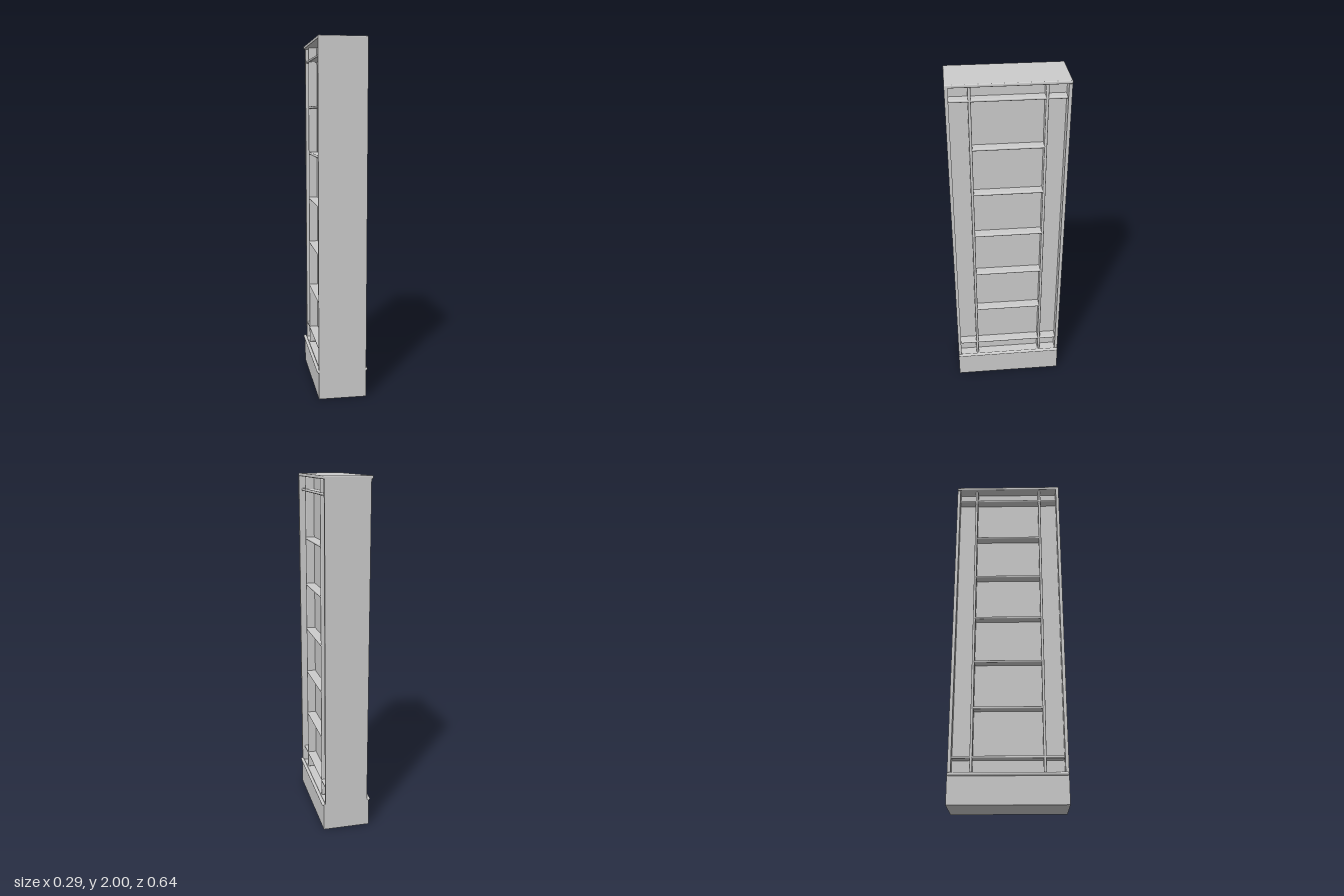
import * as THREE from 'three';
import { RoundedBoxGeometry } from 'three/addons/geometries/RoundedBoxGeometry.js';

export function createModel() {
  const model = new THREE.Group();
  model.name = 'doubleSidedBookcase';
  const material = new THREE.MeshStandardMaterial({ color: 0xcccccc });

  // Dimensions: the shallow compartments open towards +x and -x
  const halfZ = 0.32, rim = 0.018, frontX = 0.135, backX = 0.124, boardX = 0.12, coreX = 0.07;
  const baseTop = 0.16, top = 2, openBottom = 0.255, openTop = 1.905;
  const innerZ = halfZ - rim, uprightZ = 0.197, board = 0.015;

  function add(name, geometry, x, y, z) {
    const mesh = new THREE.Mesh(geometry, material);
    mesh.name = name;
    mesh.position.set(x, y, z);
    model.add(mesh);
  }
  // Box centred on x = 0, from its y and z limits
  function box(name, halfX, y0, y1, z0, z1) {
    add(name, new THREE.BoxGeometry(halfX * 2, y1 - y0, z1 - z0), 0, (y0 + y1) / 2, (z0 + z1) / 2);
  }
  // Thin board with rounded edges, standing out from the core on both sides
  function roundedBoard(name, height, depth, y, z) {
    add(name, new RoundedBoxGeometry(boardX * 2, height, depth, 3, board * 0.45), 0, y, z);
  }

  // Plinth, top board and the two end panels (the rear one is narrower)
  box('plinth', frontX, 0, baseTop, -halfZ, halfZ);
  add('topBoard', new RoundedBoxGeometry(frontX * 2, rim, halfZ * 2, 3, 0.006), 0, top - rim / 2, 0);
  box('frontPanel', frontX, baseTop, top - 0.008, innerZ, halfZ);
  box('backPanel', backX, baseTop, top - 0.008, -halfZ, -innerZ);

  // Core whose faces are the backs of the compartments
  box('core', coreX, baseTop, top - rim, -innerZ, innerZ);

  // Uprights separating the narrow side bays from the shelves
  const height = top - rim - baseTop;
  for (const z of [-uprightZ, uprightZ])
    roundedBoard('upright', height, board, baseTop + height / 2, z);

  // Boards closing the top and bottom bays
  for (const y of [openBottom, openTop])
    roundedBoard('crossBoard', board, innerZ * 2, y, 0);

  // Shelves between the uprights
  for (let i = 1; i <= 5; i++) {
    const y = openBottom + (i * (openTop - openBottom)) / 6;
    roundedBoard('shelf', board, uprightZ * 2, y, 0);
  }

  // Mouldings along the top of the plinth
  for (const side of [-1, 1]) {
    const geometry = new THREE.CapsuleGeometry(0.01, halfZ * 2 - 0.02, 4, 12).rotateX(Math.PI / 2);
    add('plinthMoulding', geometry, side * frontX, baseTop, 0);
  }
  return model;
}
